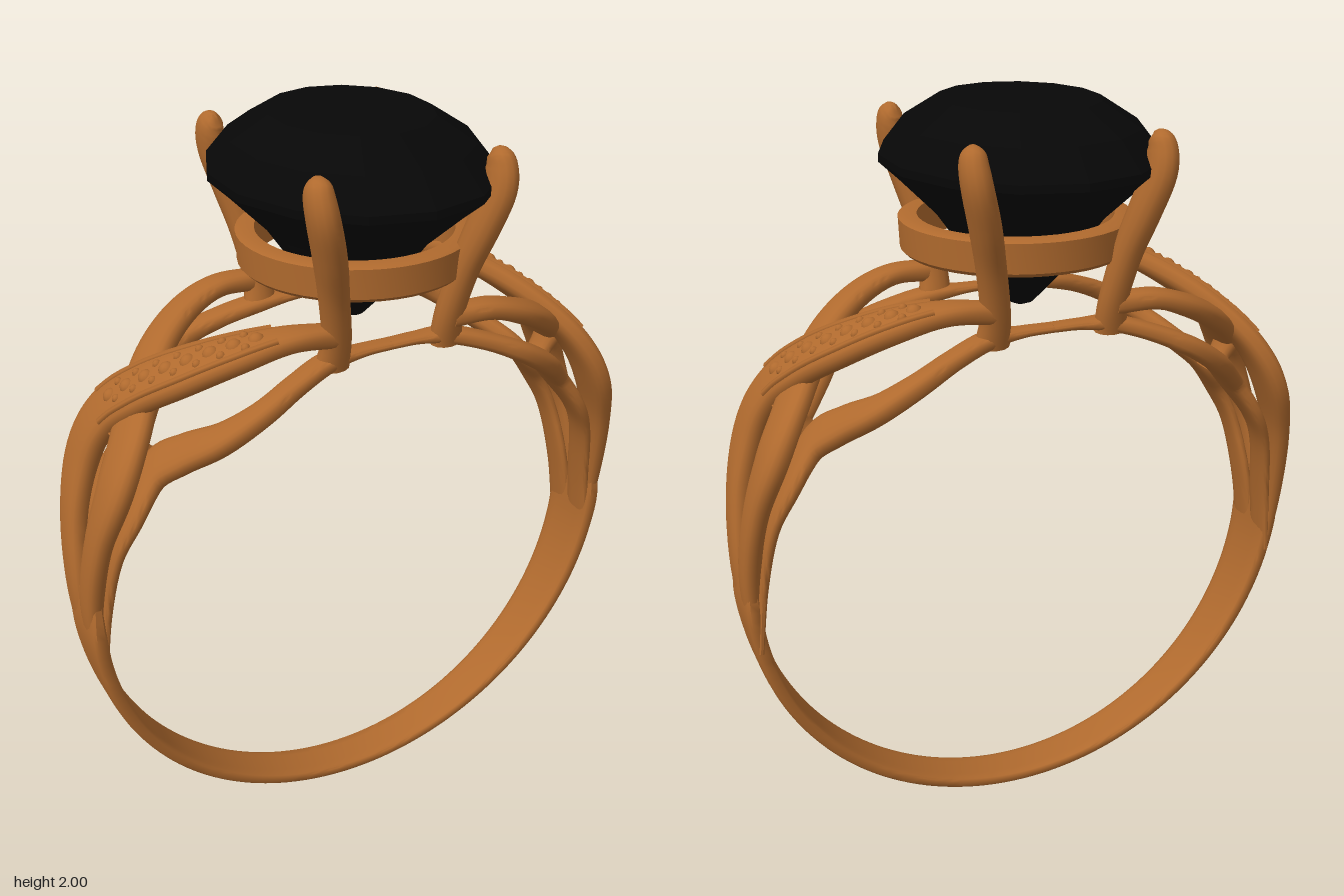
import * as THREE from 'three';
import { toCreasedNormals } from 'three/addons/utils/BufferGeometryUtils.js';

const metal = new THREE.MeshStandardMaterial({ color: 0xb06a2e });
const stone = new THREE.MeshStandardMaterial({ color: 0x070707, flatShading: true });

// outward directions used to orient the swept sections
const fromFinger = p => new THREE.Vector3(p.x, p.y - 0.8, 0);
const alongZ = p => new THREE.Vector3(0, 0, Math.sign(p.z));

// Path of rows [x, y, z, halfWidth, halfThickness]; returns a frame at t.
function makePath(rows, outward) {
  const path = new THREE.CatmullRomCurve3(rows.map(r => new THREE.Vector3(r[0], r[1], r[2])), false, 'catmullrom');
  const size = new THREE.CatmullRomCurve3(rows.map(r => new THREE.Vector3(r[3], r[4], 0)), false, 'catmullrom');
  return t => {
    const p = path.getPoint(t), s = size.getPoint(t), tan = path.getTangent(t);
    const n = outward(p);
    n.addScaledVector(tan, -n.dot(tan)).normalize();
    const side = new THREE.Vector3().crossVectors(n, tan);
    const at = (u, v) => p.clone().addScaledVector(side, u).addScaledVector(n, v);
    return { p, w: s.x, h: s.y, at };
  };
}

// Sweep a superellipse along the path; a smaller power gives a boxier section.
function sweep(name, frame, steps, power, sides = 16) {
  const pos = [], idx = [];
  const sp = v => Math.sign(v) * Math.pow(Math.abs(v), power);
  for (let i = 0; i <= steps; i++) {
    const f = frame(i / steps);
    for (let j = 0; j < sides; j++) {
      const a = (j + 0.5) / sides * Math.PI * 2;
      pos.push(...f.at(f.w * sp(Math.cos(a)), f.h * sp(Math.sin(a))).toArray());
    }
  }
  for (let i = 0; i < steps; i++) for (let j = 0; j < sides; j++) {
    const a = i * sides + j, b = i * sides + (j + 1) % sides;
    idx.push(a, b, a + sides, b, b + sides, a + sides);
  }
  const c0 = pos.length / 3, last = steps * sides;
  pos.push(...frame(0).p.toArray(), ...frame(1).p.toArray());
  for (let j = 0; j < sides; j++) {
    const k = (j + 1) % sides;
    idx.push(c0, k, j, c0 + 1, last + j, last + k);
  }
  const g = new THREE.BufferGeometry();
  g.setAttribute('position', new THREE.Float32BufferAttribute(pos, 3));
  g.setIndex(idx);
  const mesh = new THREE.Mesh(toCreasedNormals(g, 0.8), metal);
  mesh.name = name;
  return mesh;
}

// One shoulder: crossing strands, inner rails, pave beads and two prongs
function makeShoulder(name) {
  const g = new THREE.Group();
  g.name = name;

  const over = makePath([
    [0.768, 0.66, 0.045, 0.035, 0.012], [0.77, 0.85, 0.058, 0.049, 0.025], [0.75, 1.04, 0.095, 0.052, 0.028],
    [0.70, 1.2, 0.118, 0.07, 0.033], [0.645, 1.31, 0.085, 0.075, 0.033], [0.575, 1.395, 0, 0.078, 0.033],
    [0.49, 1.465, -0.1, 0.075, 0.033], [0.39, 1.52, -0.18, 0.062, 0.031], [0.28, 1.545, -0.215, 0.045, 0.026],
    [0.16, 1.535, -0.225, 0.032, 0.028]], fromFinger);
  g.add(sweep('overStrand', over, 60, 0.7));

  const under = makePath([
    [0.768, 0.66, -0.035, 0.035, 0.012], [0.77, 0.85, -0.047, 0.046, 0.025], [0.748, 1.04, -0.083, 0.052, 0.028],
    [0.698, 1.19, -0.1, 0.07, 0.033], [0.635, 1.295, -0.055, 0.07, 0.03], [0.56, 1.365, 0.05, 0.065, 0.03],
    [0.47, 1.43, 0.15, 0.057, 0.03], [0.37, 1.485, 0.21, 0.05, 0.028], [0.27, 1.52, 0.228, 0.042, 0.025],
    [0.16, 1.52, 0.225, 0.032, 0.028]], fromFinger);
  g.add(sweep('underStrand', under, 60, 0.75));

  // inner rails follow the strands underneath and run on to the prong feet
  for (const s of [-1, 1]) {
    g.add(sweep('innerRail', makePath([
      [0.762, 0.64, s * 0.045, 0.04, 0.01], [0.742, 0.83, s * 0.052, 0.044, 0.014], [0.71, 1.0, s * 0.082, 0.042, 0.016],
      [0.66, 1.11, s * 0.1, 0.05, 0.02], [0.59, 1.21, s * 0.085, 0.06, 0.026], [0.53, 1.268, s * 0.14, 0.055, 0.028],
      [0.46, 1.325, s * 0.215, 0.045, 0.028], [0.37, 1.385, s * 0.248, 0.036, 0.026], [0.27, 1.43, s * 0.23, 0.035, 0.022],
      [0.17, 1.46, s * 0.205, 0.035, 0.02], [0.08, 1.468, s * 0.2, 0.028, 0.012], [0, 1.469, s * 0.2, 0.026, 0.01]],
      fromFinger), 60, 0.7));
  }

  // short post tying the rails to the crossing strands
  g.add(sweep('crossingPost', makePath([
    [0.578, 1.205, 0, 0.05, 0.03], [0.605, 1.245, 0, 0.04, 0.022], [0.64, 1.3, 0, 0.05, 0.03]],
    () => new THREE.Vector3(1, -1, 0)), 8, 0.8));

  // pave: large beads down the middle, small grains between, thin lips beside
  const big = new THREE.SphereGeometry(0.022, 12, 8), small = new THREE.SphereGeometry(0.012, 8, 6);
  const bead = (geo, p) => {
    const m = new THREE.Mesh(geo, metal);
    m.name = 'paveBead';
    m.position.copy(p);
    g.add(m);
  };
  const t0 = 0.49, t1 = 0.82, count = 8;
  for (let i = 0; i < count; i++) {
    const f = over(t0 + (t1 - t0) * i / (count - 1));
    bead(big, f.at(0, f.h - 0.012));
    if (i === count - 1) continue;
    const m = over(t0 + (t1 - t0) * (i + 0.5) / (count - 1));
    for (const s of [-1, 1]) bead(small, m.at(s * 0.025, m.h - 0.005));
  }
  for (const s of [-1, 1]) {
    const pts = [];
    for (let i = 0; i <= 10; i++) {
      const f = over(t0 - 0.04 + (t1 - t0 + 0.08) * i / 10);
      pts.push(f.at(s * f.w * 0.68, f.h * 0.78));
    }
    const lip = new THREE.Mesh(new THREE.TubeGeometry(new THREE.CatmullRomCurve3(pts), 24, 0.009, 6), metal);
    lip.name = 'paveLip';
    g.add(lip);
  }

  // prongs leaning out and hooking over the stone
  for (const s of [-1, 1]) {
    g.add(sweep('prong', makePath([
      [0.16, 1.447, s * 0.205, 0.045, 0.032], [0.158, 1.53, s * 0.224, 0.038, 0.034], [0.178, 1.65, s * 0.25, 0.037, 0.04],
      [0.205, 1.76, s * 0.283, 0.038, 0.048], [0.23, 1.85, s * 0.305, 0.037, 0.05], [0.238, 1.905, s * 0.3, 0.034, 0.046],
      [0.236, 1.935, s * 0.288, 0.026, 0.034], [0.233, 1.95, s * 0.28, 0.008, 0.01]], alongZ), 36, 0.95, 14));
  }
  return g;
}

export function createModel() {
  const model = new THREE.Group();
  model.name = 'ring';

  // lower band, widening toward the shoulders and fading into the strands
  const rows = [];
  for (let i = 0; i <= 24; i++) {
    const a = Math.PI - 0.1 + (Math.PI + 0.2) * i / 24;
    const y = 0.795 + 0.777 * Math.sin(a), k = y / 0.87;
    const end = i === 0 || i === 24;
    rows.push([0.771 * Math.cos(a), y, 0.008, end ? 0.085 : 0.06 + 0.04 * k, end ? 0.014 : 0.016 + 0.007 * k]);
  }
  model.add(sweep('band', makePath(rows, fromFinger), 96, 0.4));

  const left = makeShoulder('leftShoulder'), right = makeShoulder('rightShoulder');
  right.rotation.y = Math.PI;
  model.add(left, right);

  // gallery ring under the stone
  const v = (x, y) => new THREE.Vector2(x, y);
  const ring = new THREE.LatheGeometry([v(0.25, 1.625), v(0.285, 1.625), v(0.295, 1.635), v(0.298, 1.71),
    v(0.288, 1.715), v(0.25, 1.715), v(0.25, 1.625)], 48);
  const gallery = new THREE.Mesh(toCreasedNormals(ring, 0.6), metal);
  gallery.name = 'galleryRing';
  gallery.position.set(0.008, 0, 0.008);
  model.add(gallery);

  // faceted oval stone
  const cut = new THREE.LatheGeometry([v(0, 1.47), v(0.1, 1.485), v(0.3, 1.565), v(0.6, 1.715), v(0.86, 1.805),
    v(1, 1.85), v(1, 1.87), v(0.84, 1.94), v(0.57, 2), v(0, 2)], 14);
  cut.scale(0.348, 1, 0.405);
  const gem = new THREE.Mesh(cut, stone);
  gem.name = 'stone';
  model.add(gem);
  return model;
}
